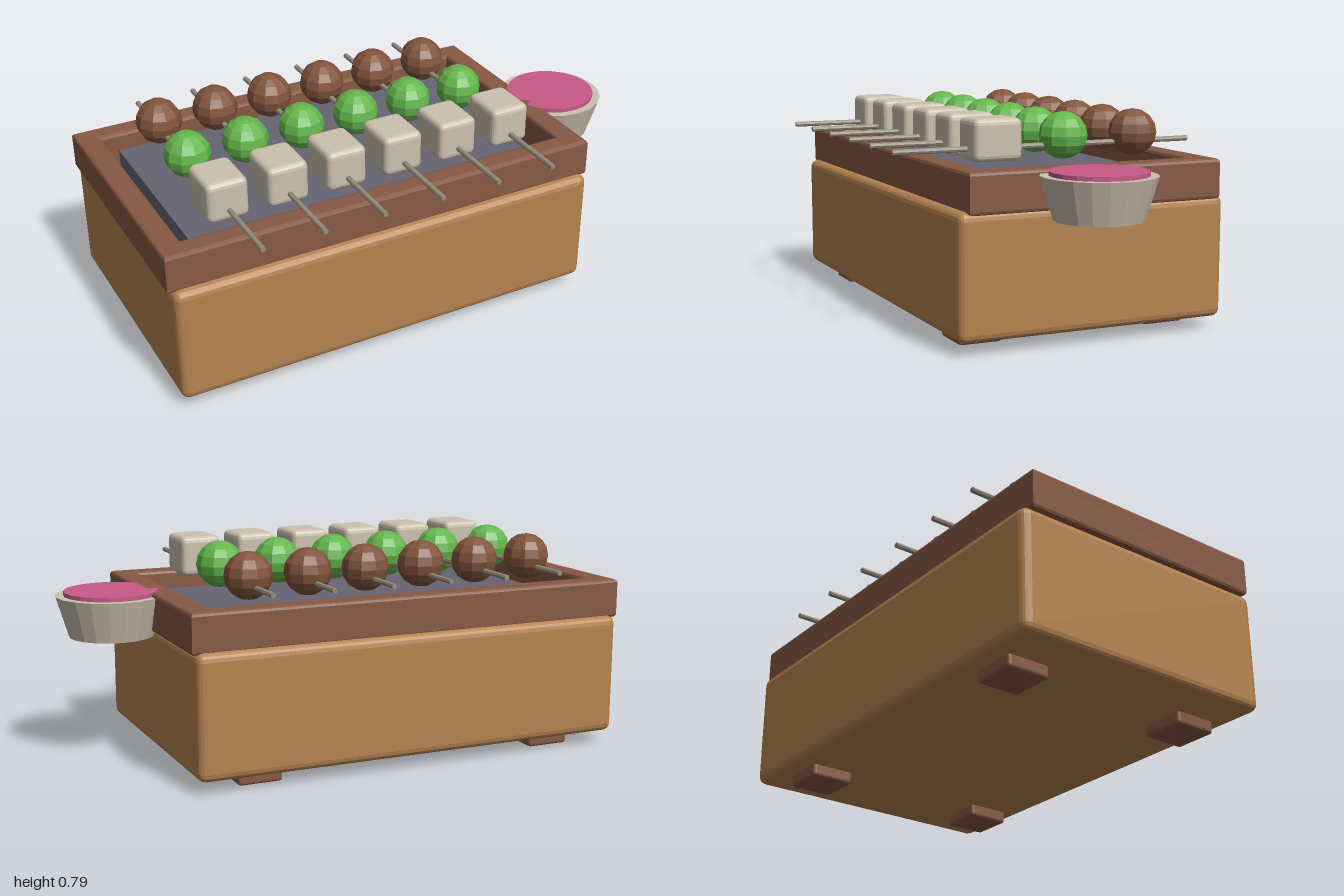
import * as THREE from 'three';
import { RoundedBoxGeometry } from 'three/addons/geometries/RoundedBoxGeometry.js';

const mat = (name, color) => {
  const m = new THREE.MeshStandardMaterial({ color, flatShading: true });
  m.name = name;
  return m;
};

export function createModel() {
  const wood = mat('tan wood', 0xb58350);
  const darkWood = mat('brown wood', 0x875943);
  const metal = mat('dark tray metal', 0x666572);
  const stick = mat('skewer grey', 0x958c7c);
  const cream = mat('cream', 0xcbc1ae);
  const green = mat('green', 0x64b64c);
  const meat = mat('roast brown', 0x82543d);
  const pink = mat('pink sauce', 0xc75a87);

  const model = new THREE.Group();
  model.name = 'tabletopGrill';

  const add = (name, geometry, material, x, y, z, parent = model) => {
    const mesh = new THREE.Mesh(geometry, material);
    mesh.name = name;
    mesh.position.set(x, y, z);
    parent.add(mesh);
    return mesh;
  };
  const block = (w, h, d, r) => new RoundedBoxGeometry(w, h, d, 2, r);

  // Wooden body
  add('body', block(1.66, 0.445, 1.03, 0.03), wood, -0.155, 0.2675, -0.065);

  // Feet
  for (const x of [-0.74, 0.43])
    for (const z of [0.302, -0.433])
      add('foot', block(0.165, 0.07, 0.165, 0.012), darkWood, x, 0.035, z);

  // Rim: bevelled rectangle with a rectangular opening
  const bevel = 0.012;
  const rectangle = (path, w, d) => {
    path.moveTo(-w / 2, -d / 2);
    path.lineTo(w / 2, -d / 2);
    path.lineTo(w / 2, d / 2);
    path.lineTo(-w / 2, d / 2);
    path.closePath();
    return path;
  };
  const rimShape = rectangle(new THREE.Shape(), 1.685 - 2 * bevel, 0.97 - 2 * bevel);
  rimShape.holes.push(rectangle(new THREE.Path(), 1.51 + 2 * bevel, 0.8 + 2 * bevel));
  const rimGeometry = new THREE.ExtrudeGeometry(rimShape, {
    depth: 0.145 - 2 * bevel, bevelEnabled: true,
    bevelThickness: bevel, bevelSize: bevel, bevelSegments: 2,
  });
  rimGeometry.rotateX(-Math.PI / 2);
  add('rim', rimGeometry, darkWood, -0.1575, 0.48 + bevel, -0.067);

  // Cooking tray
  add('tray', new THREE.BoxGeometry(1.395, 0.08, 0.79), metal, -0.1525, 0.515, -0.07);

  // Six identical skewers
  const rod = new THREE.CylinderGeometry(0.01, 0.01, 1.17, 8).rotateX(Math.PI / 2);
  const cube = block(0.152, 0.15, 0.182, 0.022);
  const ball = new THREE.SphereGeometry(1, 10, 8).rotateY(Math.PI / 2).scale(0.086, 0.086, 0.09);
  for (let i = 0; i < 6; i++) {
    const skewer = new THREE.Group();
    skewer.name = 'skewer';
    skewer.position.x = -0.72 + i * 0.2255;
    model.add(skewer);
    add('stick', rod, stick, 0, 0.671, 0, skewer);
    add('creamCube', cube, cream, 0, 0.704, 0.218, skewer);
    add('greenBall', ball, green, 0, 0.704, -0.067, skewer);
    add('meatBall', ball, meat, 0, 0.704, -0.352, skewer);
  }

  // Side cup with sauce
  add('cup', new THREE.CylinderGeometry(0.2, 0.155, 0.15, 20), cream, 0.8, 0.535, 0);
  add('sauce', new THREE.CylinderGeometry(0.17, 0.17, 0.02, 20), pink, 0.8, 0.615, 0);

  return model;
}
